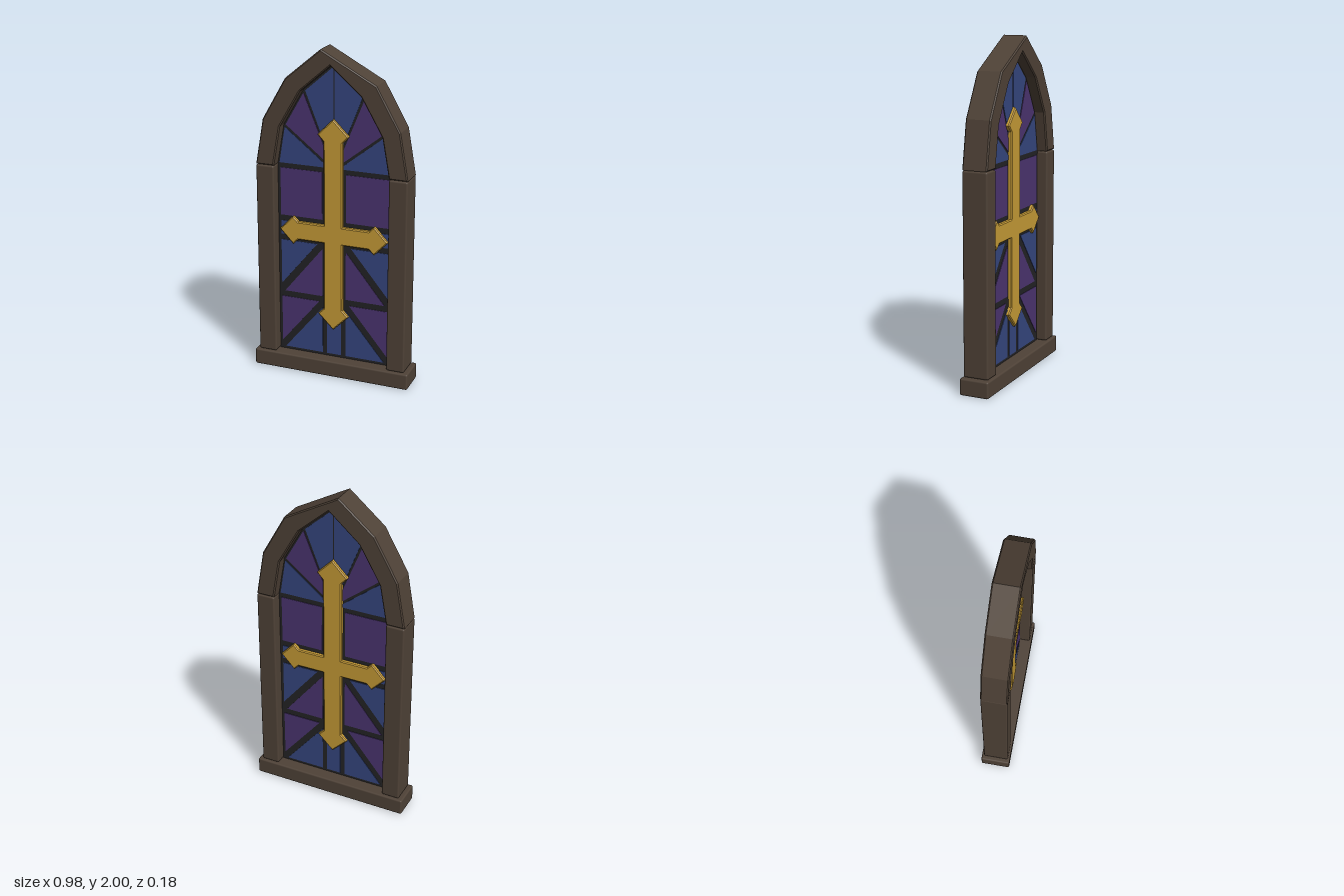
import * as THREE from 'three';
import { RoundedBoxGeometry } from 'three/addons/geometries/RoundedBoxGeometry.js';

const mat = (name, color) => new THREE.MeshStandardMaterial({ name, color });

export function createModel() {
  const group = new THREE.Group();
  const wood = mat('dark wood', 0x4f4237);
  const lead = mat('lead', 0x232325);
  const blue = mat('blue glass', 0x35467f);
  const purple = mat('purple glass', 0x4b3470);
  const gold = mat('gold', 0xc69b36);

  const add = (name, geometry, material, x = 0, y = 0) => {
    const mesh = new THREE.Mesh(geometry, material);
    mesh.name = name;
    mesh.position.set(x, y, 0);
    group.add(mesh);
  };
  // Outline extruded evenly about z = 0, with an inset bevel
  const slab = (points, depth, bevel = 0) => {
    const shape = new THREE.Shape(points.map(([x, y]) => new THREE.Vector2(x, y)));
    const geometry = new THREE.ExtrudeGeometry(shape, {
      depth: depth - 2 * bevel, bevelEnabled: bevel > 0, bevelSize: bevel,
      bevelThickness: bevel, bevelOffset: -bevel, bevelSegments: 1,
    });
    return geometry.translate(0, 0, bevel - depth / 2);
  };
  const mirror = (points) => points.map(([x, y]) => [-x, y]).reverse();

  // Frame: sill, two posts and the faceted arch with its off-centre peak
  add('sill', new RoundedBoxGeometry(0.984, 0.1, 0.18, 2, 0.01), wood, 0, 0.05);
  for (const s of [-1, 1]) {
    add(s > 0 ? 'leftPost' : 'rightPost',
      new RoundedBoxGeometry(0.112, 1.186, 0.154, 2, 0.01), wood, s * 0.41, 0.695);
  }
  const innerArch = [[0.354, 1.291], [0.312, 1.53], [0.185, 1.75], [0, 1.91],
    [-0.185, 1.75], [-0.312, 1.53], [-0.354, 1.291]];
  const outerArch = [[-0.466, 1.291], [-0.418, 1.567], [-0.275, 1.818], [-0.058, 2],
    [0.275, 1.82], [0.418, 1.567], [0.466, 1.291]];
  add('arch', slab([...outerArch, ...innerArch], 0.154, 0.007), wood);

  // Lead sheet that shows between the panes
  add('leadCame', slab([[-0.356, 0.1], [0.356, 0.1], ...innerArch], 0.024), lead);

  // Panes on one side, mirrored to the other
  const panes = [
    [purple, [[0.074, 0.974], [0.337, 0.974], [0.337, 1.267], [0.074, 1.267]]],
    [blue, [[0.074, 0.852], [0.337, 0.852], [0.337, 0.938], [0.074, 0.938]]],
    [blue, [[0.106, 0.817], [0.337, 0.535], [0.337, 0.817]]],
    [purple, [[0.074, 0.487], [0.317, 0.487], [0.074, 0.79]]],
    [purple, [[0.095, 0.45], [0.337, 0.155], [0.337, 0.45]]],
    [blue, [[0.074, 0.116], [0.317, 0.116], [0.074, 0.412]]],
    // Fan of panes in the arch
    [blue, [[0.03, 1.297], [0.342, 1.297], [0.306, 1.515]]],
    [purple, [[0.014, 1.305], [0.3, 1.53], [0.187, 1.728]]],
    [blue, [[0.004, 1.305], [0.176, 1.742], [0.004, 1.893]]],
  ];
  for (const [material, points] of panes) {
    add('leftPane', slab(points, 0.03), material);
    add('rightPane', slab(mirror(points), 0.03), material);
  }
  add('centrePane', slab([[-0.045, 0.116], [0.045, 0.116], [0.045, 1.267], [-0.045, 1.267]], 0.03), blue);

  // Cross with pointed ends
  const half = [[0, 0.286], [0.096, 0.381], [0.058, 0.418], [0.058, 0.836], [0.222, 0.836],
    [0.254, 0.804], [0.338, 0.891], [0.254, 0.979], [0.222, 0.947], [0.058, 0.947],
    [0.058, 1.457], [0.096, 1.497], [0, 1.593]];
  add('cross', slab([...half, ...mirror(half.slice(1, -1))], 0.07, 0.006), gold);

  return group;
}
